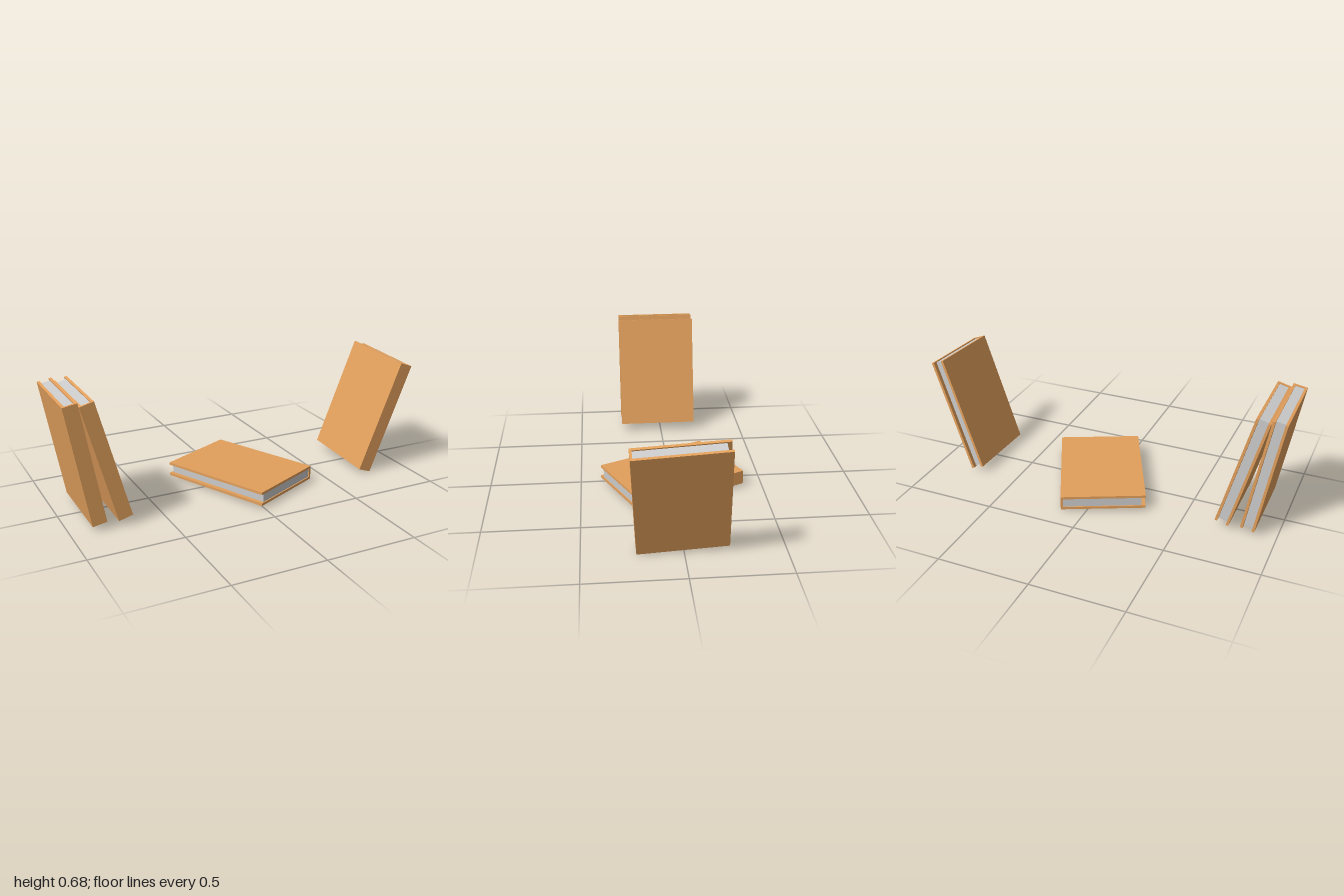
import * as THREE from 'three';

const H = 0.65, D = 0.455, T = 0.077; // book height, depth, thickness
const BOARD = 0.014, SPINE = 0.012, FORE = 0.023, TRIM = 0.006;

const coverMat = new THREE.MeshStandardMaterial({ color: 0xe3a05c });
const pageMat = new THREE.MeshStandardMaterial({ color: 0xcccccc });

// Upright book: spine towards +z, thickness along x
function makeBook(name, position, degrees) {
  const book = new THREE.Group();
  book.name = name;

  // U-shaped hardcover drawn in plan (x, -z) and extruded upwards
  const w = T / 2, d = D / 2, i = w - BOARD;
  const plan = new THREE.Shape([
    [-w, -d], [w, -d], [w, d], [i, d], [i, -d + SPINE],
    [-i, -d + SPINE], [-i, d], [-w, d],
  ].map(([x, y]) => new THREE.Vector2(x, y)));
  const coverGeo = new THREE.ExtrudeGeometry(plan, { depth: H, bevelEnabled: false });
  coverGeo.rotateX(-Math.PI / 2).translate(0, -H / 2, 0);
  const cover = new THREE.Mesh(coverGeo, coverMat);
  cover.name = 'cover';

  // Page block, set back from the fore edge and slightly trimmed at both ends
  const pages = new THREE.Mesh(
    new THREE.BoxGeometry(2 * i, H - 2 * TRIM, D - SPINE - FORE), pageMat);
  pages.name = 'pages';
  pages.position.z = (FORE - SPINE) / 2;

  book.add(cover, pages);
  book.position.set(...position);
  const [rx, ry, rz] = degrees.map(THREE.MathUtils.degToRad);
  book.rotation.set(rx, ry, rz, 'XZY');
  return book;
}

export function createModel() {
  const model = new THREE.Group();
  model.name = 'books';
  model.add(
    // Two books leaning outwards on the right
    makeBook('outerLeaningBook', [-0.906, 0.356, 0.017], [0, 0, 10]),
    makeBook('innerLeaningBook', [-0.797, 0.356, 0.017], [0, 0, 15]),
    // Book lying flat in the middle
    makeBook('flatBook', [0.053, 0.057, -0.003], [90, 90, -25]),
    // Single tilted book on the left
    makeBook('tiltedBook', [0.849, 0.333, 0.02], [2.8, 0.5, -20]),
  );
  return model;
}
